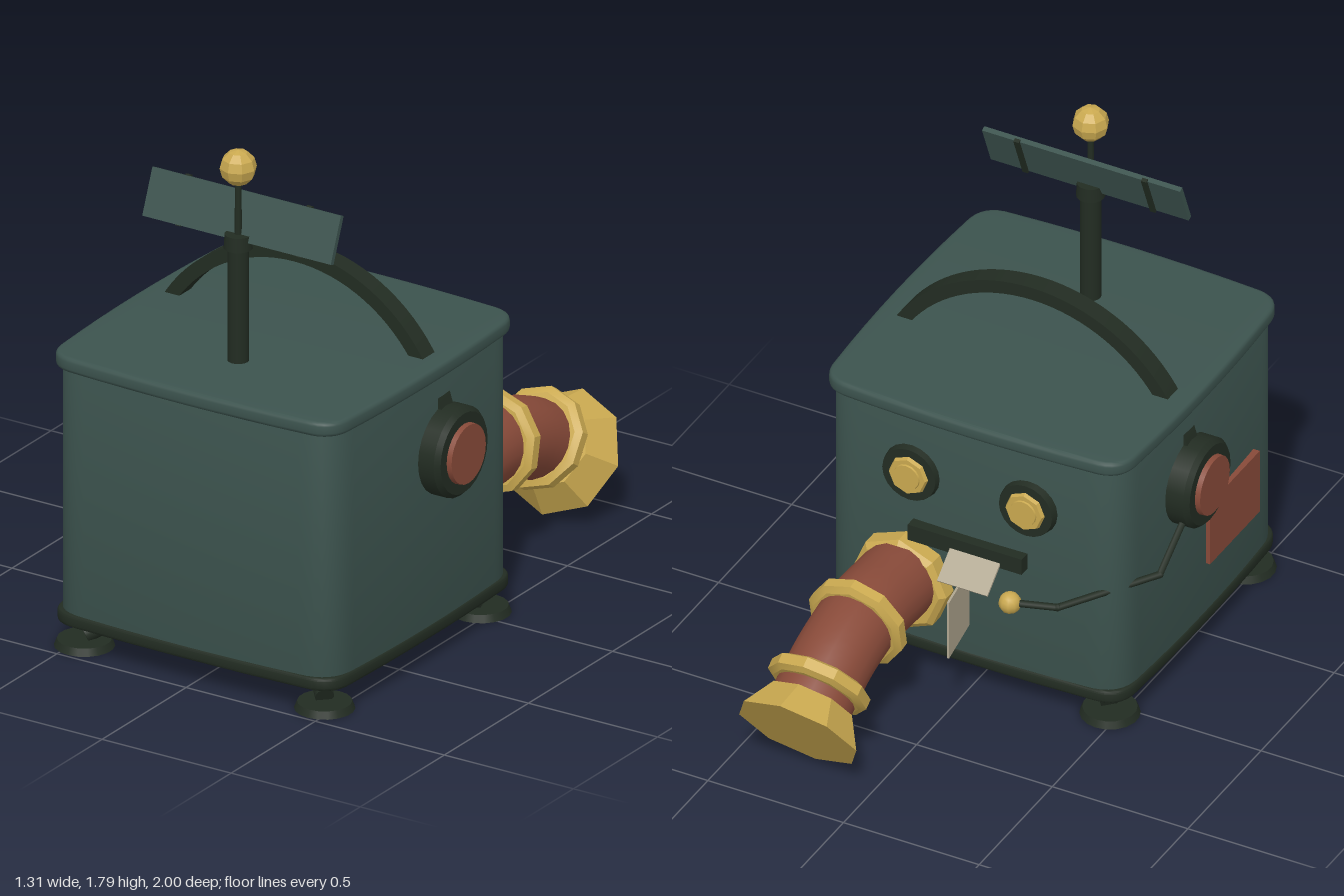
import * as THREE from 'three';
import { toCreasedNormals } from 'three/addons/utils/BufferGeometryUtils.js';

const paint = (name, color) => Object.assign(new THREE.MeshStandardMaterial({ color }), { name });

export function createModel() {
  const model = new THREE.Group();
  const teal = paint('teal', 0x3c534e);
  const dark = paint('dark green', 0x222c22);
  const gold = paint('gold', 0xcaa950);
  const rust = paint('rust red', 0x884a39);
  const cream = paint('cream', 0xb0a690);
  const flatGold = gold;
  const V = (x, y, z) => new THREE.Vector3(x, y, z);
  const UP = V(0, 1, 0);

  function add(name, geo, mat, x = 0, y = 0, z = 0) {
    const mesh = new THREE.Mesh(geo, mat);
    mesh.name = name;
    mesh.position.set(x, y, z);
    model.add(mesh);
    return mesh;
  }
  // Cylinder or cone running from a to b
  function beam(name, a, b, r0, r1, mat, sides = 16, faceted = false) {
    let geo = new THREE.CylinderGeometry(r1, r0, a.distanceTo(b), sides);
    if (faceted) geo = toCreasedNormals(geo, 0.3);
    const mesh = add(name, geo, mat);
    mesh.position.copy(a).lerp(b, 0.5);
    mesh.quaternion.setFromUnitVectors(UP, b.clone().sub(a).normalize());
    return mesh;
  }
  // Rounded square with gently bulging sides, extruded upward from y0 to y1
  function slab(name, half, corner, bulge, bevel, y0, y1, mat) {
    const h = half - bevel - bulge, c = h - corner, m = h + bulge * 2;
    const s = new THREE.Shape();
    s.moveTo(-c, -h);
    s.quadraticCurveTo(0, -m, c, -h).quadraticCurveTo(h, -h, h, -c);
    s.quadraticCurveTo(m, 0, h, c).quadraticCurveTo(h, h, c, h);
    s.quadraticCurveTo(0, m, -c, h).quadraticCurveTo(-h, h, -h, c);
    s.quadraticCurveTo(-m, 0, -h, -c).quadraticCurveTo(-h, -h, -c, -h);
    const geo = new THREE.ExtrudeGeometry(s, {
      depth: y1 - y0 - 2 * bevel, bevelThickness: bevel, bevelSize: bevel, bevelSegments: 3, curveSegments: 8,
    });
    geo.rotateX(-Math.PI / 2).translate(0, bevel, 0);
    return add(name, toCreasedNormals(geo, 0.7), mat, 0, y0, 0.425);
  }

  // Box body
  slab('body', 0.56, 0.12, 0.012, 0.012, 0.12, 1.01, teal);
  slab('lid', 0.575, 0.1, 0.015, 0.014, 1.0, 1.052, teal);
  slab('basePlate', 0.565, 0.1, 0.01, 0.01, 0.098, 0.143, dark);

  // Feet with slanted struts
  for (const sx of [-1, 1]) for (const sz of [-1, 1]) {
    const x = sx * 0.465, z = 0.425 + sz * 0.465;
    beam('footPad', V(x, 0.005, z), V(x, 0.03, z), 0.1, 0.09, dark, 18);
    beam('footStrut', V(x, 0.045, z), V(x - sx * 0.13, 0.125, z - sz * 0.13), 0.032, 0.032, dark, 10);
  }

  // Headband and ear cups
  const band = new THREE.Shape();
  band.absarc(0, 0, 0.592, 0, Math.PI, false);
  band.absarc(0, 0, 0.545, Math.PI, 0, true);
  const bandGeo = new THREE.ExtrudeGeometry(band, { depth: 0.07, bevelEnabled: false, curveSegments: 24 });
  add('headband', toCreasedNormals(bandGeo, 0.5), dark, 0, 0.735, 0.29);
  for (const s of [-1, 1]) {
    const at = (x) => V(s * x, 0.74, 0.325);
    beam('earCup', at(0.54), at(0.62), 0.155, 0.155, dark, 24);
    beam('earCupRim', at(0.62), at(0.637), 0.155, 0.14, dark, 24);
    beam('earPad', at(0.6), at(0.655), 0.108, 0.102, rust, 24);
  }

  // Microphone on a bent arm
  const arm = [V(-0.6, 0.68, 0.25), V(-0.6, 0.54, 0.05), V(-0.38, 0.515, -0.24), V(-0.22, 0.5, -0.27)];
  for (let i = 0; i < 3; i++) {
    beam('microphoneArm', arm[i], arm[i + 1], 0.012, 0.012, dark, 8);
    add('armJoint', new THREE.SphereGeometry(0.013, 8, 6), dark).position.copy(arm[i + 1]);
  }
  add('microphone', new THREE.SphereGeometry(0.038, 10, 8), gold).position.copy(arm[3]);

  // Mast, antenna and tilted panel
  beam('mast', V(0, 1.04, 0.69), V(0, 1.46, 0.69), 0.035, 0.035, dark);
  beam('mastCap', V(0, 1.45, 0.69), V(0, 1.5, 0.69), 0.048, 0.045, dark);
  beam('antenna', V(0, 1.49, 0.69), V(0, 1.7, 0.69), 0.013, 0.01, dark, 8);
  add('antennaBall', toCreasedNormals(new THREE.SphereGeometry(0.062, 8, 6), 0.1), gold, 0, 1.735, 0.69);
  const panel = add('panel', new THREE.BoxGeometry(0.73, 0.163, 0.018), teal, 0, 1.552, 0.662);
  panel.rotation.x = -0.38;
  for (const x of [-0.235, 0.235]) {
    const strip = add('panelStrip', new THREE.BoxGeometry(0.02, 0.172, 0.014), dark, x, 1.549, 0.653);
    strip.rotation.x = -0.38;
  }

  // Eyes and mouth
  for (const x of [-0.215, 0.215]) {
    const at = (z) => V(x, 0.79, z);
    beam('eyeSocket', at(-0.11), at(-0.155), 0.108, 0.098, dark, 20);
    beam('eyeRim', at(-0.14), at(-0.168), 0.078, 0.066, flatGold, 8, true);
    beam('eyeLens', at(-0.16), at(-0.174), 0.05, 0.046, gold, 16);
  }
  add('mouth', new THREE.BoxGeometry(0.42, 0.06, 0.06), dark, 0, 0.575, -0.142);

  // Cards hanging from the mouth
  const card = add('upperCard', new THREE.BoxGeometry(0.185, 0.008, 0.12), cream, -0.038, 0.525, -0.212);
  card.rotation.x = -0.7;
  const hanging = add('lowerCard', new THREE.BoxGeometry(0.008, 0.22, 0.2), cream, -0.018, 0.375, -0.25);
  hanging.rotation.y = 0.16;

  // Panel on the side
  add('sidePatch', new THREE.BoxGeometry(0.03, 0.24, 0.34), rust, -0.56, 0.45, 0.61);

  // Ribbed hose with collars and a flared end
  const X = 0.235;
  const path = new THREE.CatmullRomCurve3([
    V(X, 0.385, -0.12), V(X, 0.395, -0.28), V(X, 0.398, -0.44), V(X, 0.355, -0.62), V(X, 0.285, -0.76), V(X, 0.25, -0.82),
  ]);
  add('hose', new THREE.TubeGeometry(path, 20, 0.137, 20, false), rust);
  beam('hoseCollar', V(X, 0.37, -0.11), V(X, 0.37, -0.185), 0.175, 0.175, gold, 8, true);
  beam('hoseCollarLip', V(X, 0.37, -0.185), V(X, 0.37, -0.202), 0.175, 0.155, gold, 8, true);
  for (const [y, z, tilt] of [[0.395, -0.465, 0.2], [0.31, -0.73, 0.58]]) {
    const dir = V(0, -Math.sin(tilt), -Math.cos(tilt));
    const mid = V(X, y, z);
    const p = (t) => mid.clone().addScaledVector(dir, t);
    beam('hoseRing', p(-0.018), p(0.018), 0.174, 0.174, gold, 10, true);
    beam('hoseRingEdge', p(0.018), p(0.03), 0.174, 0.15, gold, 10, true);
    beam('hoseRingEdge', p(-0.03), p(-0.018), 0.15, 0.174, gold, 10, true);
  }
  beam('hoseFlare', V(X, 0.27, -0.785), V(X, 0.208, -0.877), 0.15, 0.216, gold, 8, true);

  return model;
}
